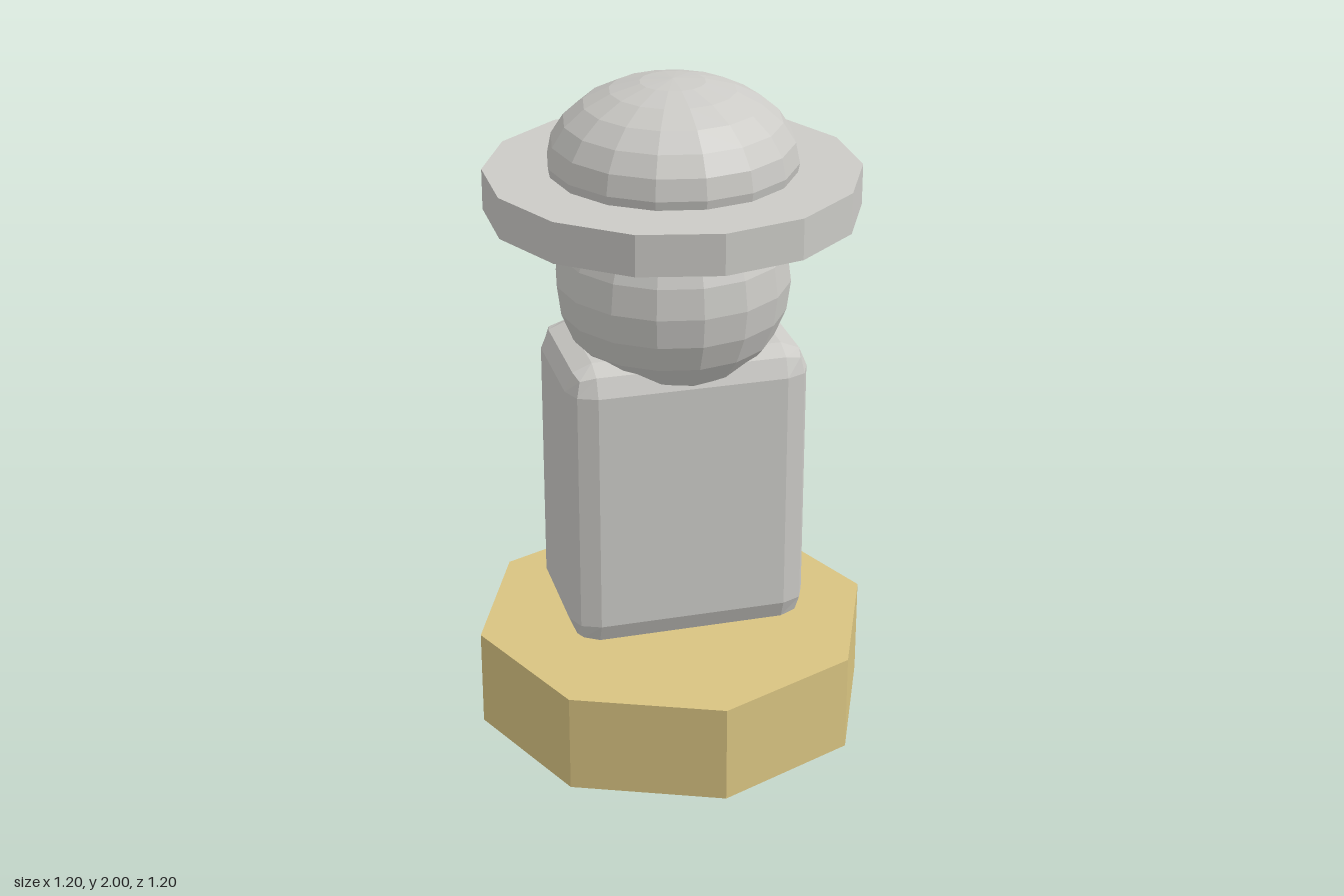
import * as THREE from 'three';
import { RoundedBoxGeometry } from 'three/addons/geometries/RoundedBoxGeometry.js';

// Give every facet its own normal for a crisp low-poly look
function faceted(geometry) {
  const g = geometry.index ? geometry.toNonIndexed() : geometry;
  g.computeVertexNormals();
  return g;
}

export function createModel() {
  const group = new THREE.Group();
  const stone = new THREE.MeshStandardMaterial({ color: 0xcbcac6 });
  stone.name = 'pale grey stone';
  const gold = new THREE.MeshStandardMaterial({ color: 0xd8c381 });
  gold.name = 'dull gold';

  function add(name, geometry, material, y) {
    const mesh = new THREE.Mesh(faceted(geometry), material);
    mesh.name = name;
    mesh.position.y = y;
    group.add(mesh);
  }

  // Octagonal plinth
  add('plinth', new THREE.CylinderGeometry(0.6, 0.6, 0.3, 8), gold, 0.15);

  // Bevelled block floating just above the plinth
  add('body', new RoundedBoxGeometry(0.72, 0.9, 0.475, 1, 0.08), stone, 0.783);

  // Round head sunk into the body
  add('head', new THREE.SphereGeometry(0.342, 16, 12), stone, 1.41);

  // Hat: fourteen-sided brim and a squashed crown
  add('hatBrim', new THREE.CylinderGeometry(0.54, 0.54, 0.12, 14), stone, 1.68);
  add('hatCrown', new THREE.SphereGeometry(0.36, 16, 12).scale(1, 0.65, 1), stone, 1.766);

  return group;
}
